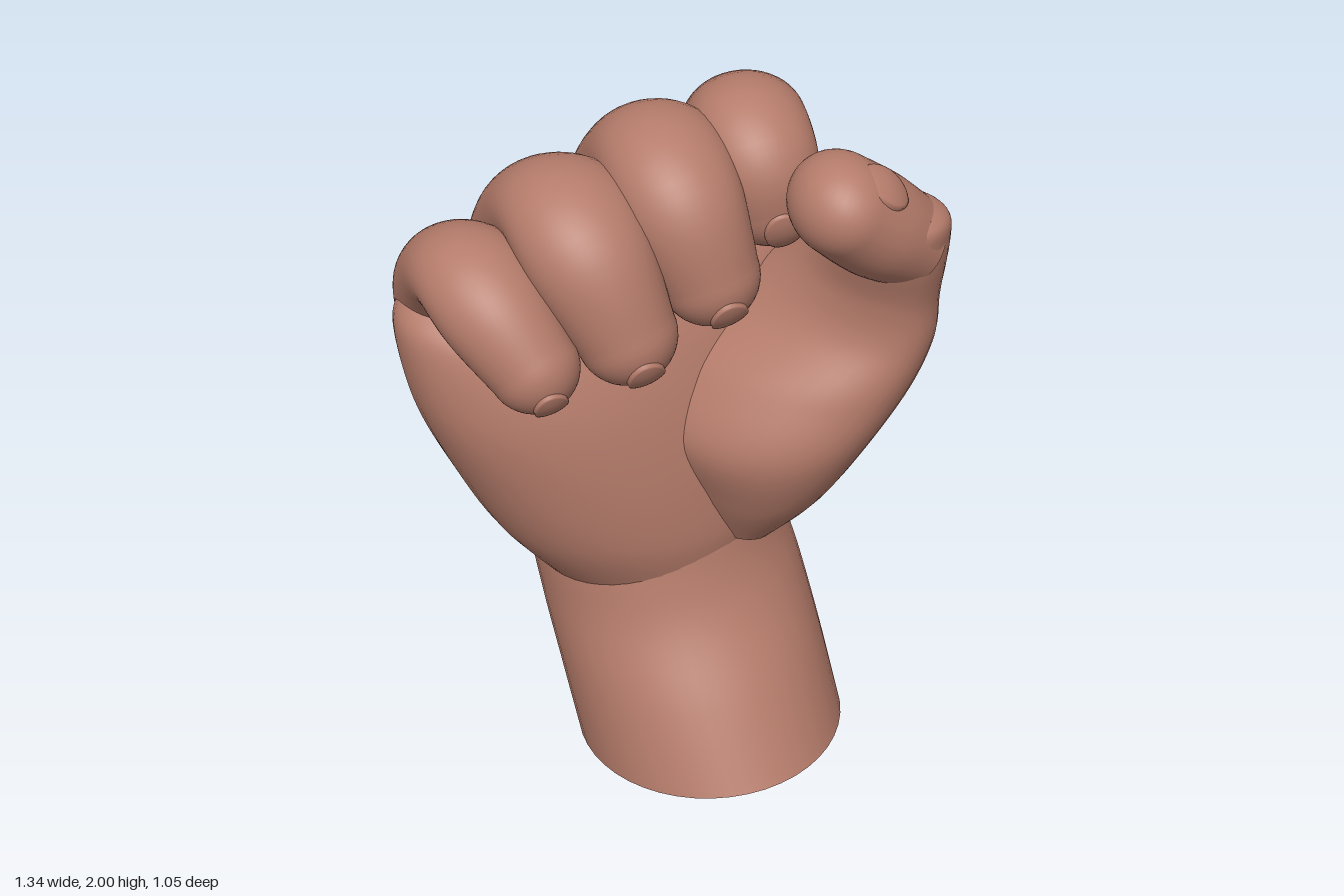
import * as THREE from 'three';

const V = (x, y, z) => new THREE.Vector3(x, y, z);
const SIDES = 48;

// Catmull-Rom interpolation of every number in a list of rows
function resample(rows, steps) {
  const out = [];
  const last = rows.length - 1;
  for (let i = 0; i < last; i++) {
    const p0 = rows[Math.max(i - 1, 0)], p1 = rows[i], p2 = rows[i + 1], p3 = rows[Math.min(i + 2, last)];
    for (let s = 0; s < steps; s++) {
      const t = s / steps;
      out.push(p1.map((b, k) => {
        const a = p0[k], c = p2[k], d = p3[k];
        return 0.5 * (2 * b + (c - a) * t + (2 * a - 5 * b + 4 * c - d) * t * t + (3 * b - a - 3 * c + d) * t ** 3);
      }));
    }
  }
  out.push(rows[last]);
  return out;
}

// Ring around a centre: half axes u and v, power above 2 makes it squarer
function ring(c, u, v, power = 2) {
  const pts = [];
  for (let j = 0; j < SIDES; j++) {
    const t = (j / SIDES) * Math.PI * 2;
    const f = (w) => Math.sign(w) * Math.abs(w) ** (2 / power);
    pts.push(c.clone().addScaledVector(u, f(Math.cos(t))).addScaledVector(v, f(Math.sin(t))));
  }
  return pts;
}

// Smooth skin through rings, with flat caps at both ends
function loft(rings) {
  const pos = [], idx = [];
  rings.forEach((r) => r.forEach((p) => pos.push(p.x, p.y, p.z)));
  for (let i = 0; i < rings.length - 1; i++) {
    for (let j = 0; j < SIDES; j++) {
      const a = i * SIDES + j, b = i * SIDES + (j + 1) % SIDES;
      idx.push(a, b, a + SIDES, b, b + SIDES, a + SIDES);
    }
  }
  [rings[0], rings[rings.length - 1]].forEach((r, end) => {
    const base = pos.length / 3;
    const mid = V(0, 0, 0);
    r.forEach((p) => { pos.push(p.x, p.y, p.z); mid.addScaledVector(p, 1 / SIDES); });
    pos.push(mid.x, mid.y, mid.z);
    for (let j = 0; j < SIDES; j++) {
      const a = base + j, b = base + (j + 1) % SIDES;
      idx.push(base + SIDES, end ? a : b, end ? b : a);
    }
  });
  const g = new THREE.BufferGeometry();
  g.setAttribute('position', new THREE.Float32BufferAttribute(pos, 3));
  g.setIndex(idx);
  g.computeVertexNormals();
  return g;
}

// Round-ended limb; rows are [x, y, z, half width along side, other half width]
function limb(rows, side) {
  const fine = resample(rows, 8);
  const centre = fine.map((r) => V(r[0], r[1], r[2]));
  const rings = [];
  fine.forEach((r, i) => {
    const T = centre[Math.min(i + 1, fine.length - 1)].clone().sub(centre[Math.max(i - 1, 0)]).normalize();
    const v = T.clone().cross(side).normalize();
    const u = v.clone().cross(T);
    const add = (shift, k) => rings.push(ring(centre[i].clone().addScaledVector(T, shift),
      u.clone().multiplyScalar(r[3] * k), v.clone().multiplyScalar(r[4] * k)));
    add(0, 1);
    if (i === fine.length - 1) {
      for (let s = 1; s <= 10; s++) {
        const t = (s / 10) * 1.56;
        add(Math.min(r[3], r[4]) * Math.sin(t), Math.cos(t));
      }
    }
  });
  return loft(rings);
}

// Thin oval nail curved over a round fingertip, its rim sunk into the skin
function nail(r, centre, normal, along, size) {
  const g = new THREE.SphereGeometry(r, 28, 10, 0, Math.PI * 2, 0, size);
  const p = g.attributes.position;
  for (let i = 0; i < p.count; i++) {
    const rim = i >= p.count - 29;
    const q = V(p.getX(i) * 0.74, p.getY(i), p.getZ(i)).setLength(r + (rim ? -0.004 : 0.008));
    p.setXYZ(i, q.x, q.y, q.z);
  }
  g.computeVertexNormals();
  const n = normal.clone().normalize();
  const x = n.clone().cross(along).normalize();
  g.applyMatrix4(new THREE.Matrix4().makeBasis(x, n, x.clone().cross(n)));
  g.translate(centre.x, centre.y, centre.z);
  return g;
}

export function createModel() {
  const hand = new THREE.Group();
  hand.name = 'fist';
  const skin = new THREE.MeshStandardMaterial({ color: 0xb47b6a, side: THREE.DoubleSide });
  skin.name = 'skin';
  const add = (name, geometry) => {
    const m = new THREE.Mesh(geometry, skin);
    m.name = name;
    hand.add(m);
  };
  const X = V(1, 0, 0), Y = V(0, 1, 0), Z = V(0, 0, 1);

  // Wrist: [x, y, z, half width, half depth, slope in x, slope in z]
  const wrist = resample([
    [0.135, 0.075, 0.065, 0.365, 0.465, 0.1, 0.14],
    [0.092, 0.3, -0.008, 0.365, 0.42, 0.09, 0.1],
    [0.052, 0.5, -0.08, 0.362, 0.375, 0.08, 0.05],
    [0.02, 0.66, -0.11, 0.352, 0.352, 0.05, 0],
    [0.01, 0.84, -0.11, 0.33, 0.32, 0, 0],
  ], 8);
  add('wrist', loft(wrist.map(([x, y, z, w, d, sx, sz]) => ring(V(x, y, z), V(w, w * sx, 0), V(0, -d * sz, -d)))));

  // Palm, turned so the outer edge lies further forward: [outer edge xyz, index edge xyz, half depth, squareness]
  const palm = resample([
    [-0.29, 0.57, -0.04, 0.31, 0.7, -0.13, 0.3, 2],
    [-0.44, 0.76, 0.01, 0.38, 0.8, -0.19, 0.34, 2.1],
    [-0.55, 0.97, 0.04, 0.43, 1.02, -0.25, 0.35, 2.2],
    [-0.63, 1.17, 0.06, 0.46, 1.25, -0.31, 0.335, 2.2],
    [-0.67, 1.36, 0.04, 0.46, 1.47, -0.34, 0.285, 2.2],
    [-0.66, 1.44, 0, 0.45, 1.58, -0.34, 0.2, 2.3],
    [-0.62, 1.47, -0.04, 0.42, 1.64, -0.34, 0.12, 2.3],
    [-0.5, 1.48, -0.08, 0.3, 1.65, -0.32, 0.02, 2.3],
  ], 8);
  add('palm', loft(palm.map(([lx, ly, lz, rx, ry, rz, d, power]) => {
    const L = V(lx, ly, lz), R = V(rx, ry, rz);
    const u = R.clone().sub(L).multiplyScalar(0.5);
    const v = Y.clone().cross(u).normalize().multiplyScalar(d);
    return ring(L.add(R).multiplyScalar(0.5), u, v, power);
  })));

  // Curled fingers, knuckle to tip
  const fingers = {
    index: [[0.23, 1.22, -0.3, 0.11, 0.1], [0.265, 1.45, -0.37, 0.165, 0.145], [0.275, 1.6, -0.33, 0.165, 0.143],
      [0.25, 1.775, -0.165, 0.155, 0.13], [0.22, 1.885, 0.03, 0.148, 0.115], [0.23, 1.83, 0.14, 0.142, 0.125],
      [0.25, 1.73, 0.145, 0.128, 0.125]],
    middle: [[-0.01, 1.18, -0.24, 0.12, 0.1], [-0.01, 1.4, -0.33, 0.165, 0.145], [-0.015, 1.55, -0.295, 0.168, 0.145],
      [-0.015, 1.72, -0.125, 0.165, 0.138], [-0.01, 1.838, 0.08, 0.165, 0.13], [0.01, 1.775, 0.23, 0.155, 0.135],
      [0.07, 1.597, 0.275, 0.126, 0.126]],
    ring: [[-0.3, 1.12, -0.1, 0.12, 0.1], [-0.3, 1.33, -0.22, 0.165, 0.145], [-0.295, 1.48, -0.195, 0.167, 0.145],
      [-0.285, 1.64, -0.05, 0.165, 0.138], [-0.262, 1.748, 0.145, 0.17, 0.13], [-0.23, 1.685, 0.285, 0.16, 0.135],
      [-0.152, 1.497, 0.345, 0.126, 0.126]],
    little: [[-0.46, 1.08, 0, 0.08, 0.08], [-0.51, 1.28, -0.1, 0.13, 0.12], [-0.525, 1.42, -0.1, 0.143, 0.13],
      [-0.525, 1.54, 0.02, 0.142, 0.125], [-0.505, 1.617, 0.18, 0.147, 0.12], [-0.465, 1.572, 0.295, 0.139, 0.122],
      [-0.388, 1.452, 0.377, 0.114, 0.114]],
  };
  for (const [name, rows] of Object.entries(fingers)) {
    add(name + 'Finger', limb(rows, X));
    const [x, y, z, , r] = rows[rows.length - 1];
    const normal = name === 'index' ? V(0.1, -0.4, 0.9) : V(0.25, -0.6, 0.77);
    add(name + 'Nail', nail(r, V(x, y, z), normal, V(0.3, -1, -0.4), 0.54));
  }

  // Thumb base and web, level sections skewed forward: [x, y, z, half width, half depth, skew]
  const thumb = resample([
    [0.2, 0.74, -0.07, 0.13, 0.28, 0.02],
    [0.225, 0.9, 0, 0.215, 0.335, 0.04],
    [0.235, 1.08, 0.04, 0.29, 0.375, 0.08],
    [0.312, 1.25, 0.05, 0.285, 0.37, 0.12],
    [0.435, 1.39, 0.1, 0.2, 0.305, 0.1],
    [0.498, 1.51, 0.18, 0.155, 0.23, 0.05],
    [0.52, 1.62, 0.265, 0.14, 0.178, 0.02],
    [0.525, 1.69, 0.31, 0.137, 0.152, 0],
    [0.53, 1.745, 0.33, 0.12, 0.13, 0],
    [0.53, 1.775, 0.335, 0.07, 0.08, 0],
    [0.53, 1.783, 0.335, 0.01, 0.01, 0],
  ], 8);
  add('thumbBase', loft(thumb.map(([x, y, z, w, d, skew]) => ring(V(x, y, z), V(w, 0, 0), V(-skew, 0, -d)))));

  // Bent thumb tip
  add('thumbTip', limb([
    [0.56, 1.66, 0.315, 0.13, 0.115],
    [0.46, 1.735, 0.35, 0.15, 0.13],
    [0.362, 1.815, 0.385, 0.147, 0.124],
  ], Z));
  add('thumbNail', nail(0.134, V(0.395, 1.785, 0.383), V(0.47, 0.73, 0.45), V(-0.6, 0.8, 0), 0.58));

  return hand;
}
